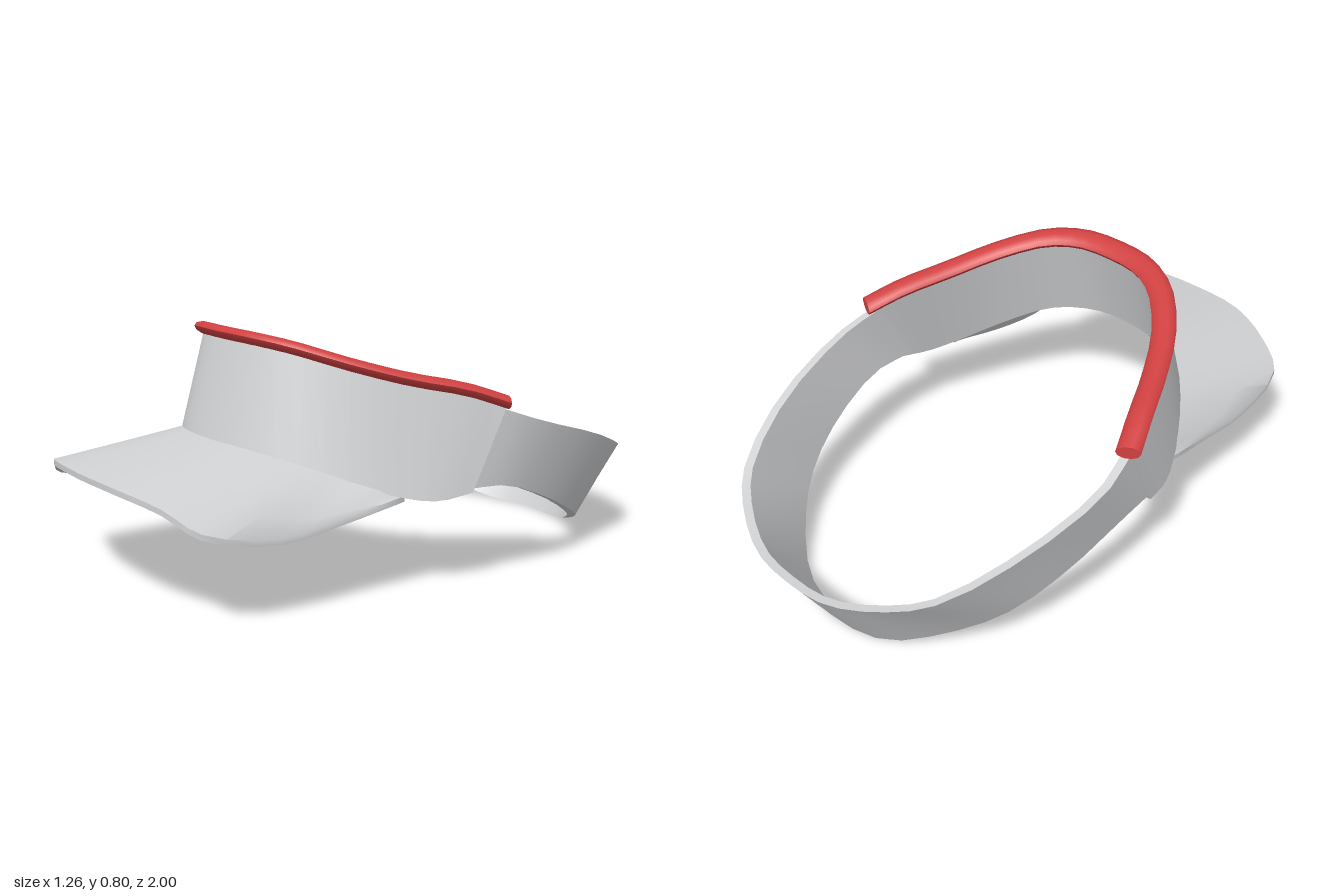
import * as THREE from 'three';
import { toCreasedNormals } from 'three/addons/utils/BufferGeometryUtils.js';

const UP = new THREE.Vector3(0, 1, 0);

// Smooth curve through points given from the centre line to the left side, mirrored to the right
function mirroredCurve(half, reverse = false) {
  const left = half.map(([x, y, z]) => new THREE.Vector3(x, y, z));
  const right = half.slice(1).reverse().map(([x, y, z]) => new THREE.Vector3(-x, y, z));
  const points = [...right, ...left];
  if (reverse) points.reverse();
  return new THREE.CatmullRomCurve3(points, false, 'centripetal');
}

// Horizontal direction pointing into the head opening
function inward(curve, u) {
  const t = curve.getTangent(u);
  t.y = 0;
  return UP.clone().cross(t).normalize();
}

// Skin closed cross-sections and cap both ends
function loft(sectionAt, steps, crease = 0.75) {
  const pos = [], index = [];
  let n = 0;
  for (let i = 0; i <= steps; i++) {
    const section = sectionAt(i / steps);
    n = section.length;
    section.forEach(p => pos.push(p.x, p.y, p.z));
  }
  for (let i = 0; i < steps; i++) {
    for (let j = 0; j < n; j++) {
      const a = i * n + j, b = i * n + (j + 1) % n;
      index.push(a, b, b + n, a, b + n, a + n);
    }
  }
  const end = steps * n;
  for (let j = 1; j < n - 1; j++) {
    index.push(0, j + 1, j, end, end + j, end + j + 1);
  }
  const geo = new THREE.BufferGeometry();
  geo.setAttribute('position', new THREE.Float32BufferAttribute(pos, 3));
  geo.setIndex(index);
  return toCreasedNormals(geo, crease);
}

// Upright strip of cloth between a top and a bottom curve
function strip(top, bottom, thickness, steps) {
  return loft(u => {
    const a = top.getPoint(u), b = bottom.getPoint(u);
    return [
      a, b,
      b.clone().addScaledVector(inward(bottom, u), thickness),
      a.clone().addScaledVector(inward(top, u), thickness),
    ];
  }, steps);
}

export function createModel() {
  const group = new THREE.Group();
  const grey = new THREE.MeshStandardMaterial({ color: 0xd0d1d3 });
  grey.name = 'light grey cloth';
  const red = new THREE.MeshStandardMaterial({ color: 0xd04040 });
  red.name = 'red trim';
  const add = (name, geo, mat) => {
    const mesh = new THREE.Mesh(geo, mat);
    mesh.name = name;
    group.add(mesh);
  };

  // Front band
  const bandTop = mirroredCurve([
    [0, 0.783, 0.495], [0.14, 0.78, 0.48], [0.26, 0.762, 0.42], [0.38, 0.715, 0.295],
    [0.47, 0.667, 0.14], [0.545, 0.63, -0.02], [0.6, 0.585, -0.14],
  ]);
  const bandBottom = mirroredCurve([
    [0, 0.455, 0.59], [0.15, 0.452, 0.57], [0.3, 0.43, 0.49], [0.43, 0.37, 0.345],
    [0.52, 0.32, 0.2], [0.565, 0.305, 0.1], [0.592, 0.32, -0.01],
  ]);
  add('frontBand', strip(bandTop, bandBottom, 0.025, 32), grey);

  // Padded trim, tilted with the slope of the band's top edge
  add('topTrim', loft(u => {
    const c = bandTop.getPoint(u), n = inward(bandTop, u);
    n.y = 0.28 * n.z;
    const section = [];
    for (let k = 0; k < 10; k++) {
      const a = k / 10 * Math.PI * 2;
      section.push(c.clone()
        .addScaledVector(n, 0.008 - 0.04 * Math.cos(a))
        .addScaledVector(UP, -0.022 * Math.sin(a)));
    }
    return section;
  }, 28, 1), red);

  // Curved brim spreading from the band's lower edge
  const brimRoot = mirroredCurve([
    [0, 0.468, 0.575], [0.14, 0.465, 0.56], [0.25, 0.45, 0.51], [0.35, 0.42, 0.43],
    [0.43, 0.378, 0.335], [0.48, 0.35, 0.26], [0.51, 0.325, 0.19],
  ]);
  const brimEdge = mirroredCurve([
    [0, 0.41, 1.0], [0.2, 0.405, 0.985], [0.36, 0.372, 0.925], [0.465, 0.315, 0.86],
    [0.492, 0.265, 0.62], [0.497, 0.285, 0.42], [0.515, 0.325, 0.2],
  ]);
  add('brim', loft(u => {
    const a = brimRoot.getPoint(u), b = brimEdge.getPoint(u);
    const top = [0, 0.33, 0.67, 1].map(t => a.clone().lerp(b, t));
    const under = top.map(p => p.clone().addScaledVector(UP, -0.018)).reverse();
    return [...top, ...under];
  }, 36), grey);

  // Back strap, leaning outward towards its top edge
  const strapTop = mirroredCurve([
    [0, 0.26, -1.0], [0.16, 0.265, -0.985], [0.32, 0.295, -0.915], [0.45, 0.335, -0.81],
    [0.565, 0.425, -0.57], [0.615, 0.515, -0.27], [0.585, 0.575, -0.1],
  ], true);
  const strapBottom = mirroredCurve([
    [0, 0.003, -0.85], [0.2, 0.01, -0.81], [0.37, 0.075, -0.69], [0.49, 0.145, -0.55],
    [0.56, 0.235, -0.37], [0.59, 0.32, -0.15], [0.58, 0.33, 0.02],
  ], true);
  add('backStrap', strip(strapTop, strapBottom, 0.028, 28), grey);

  return group;
}
